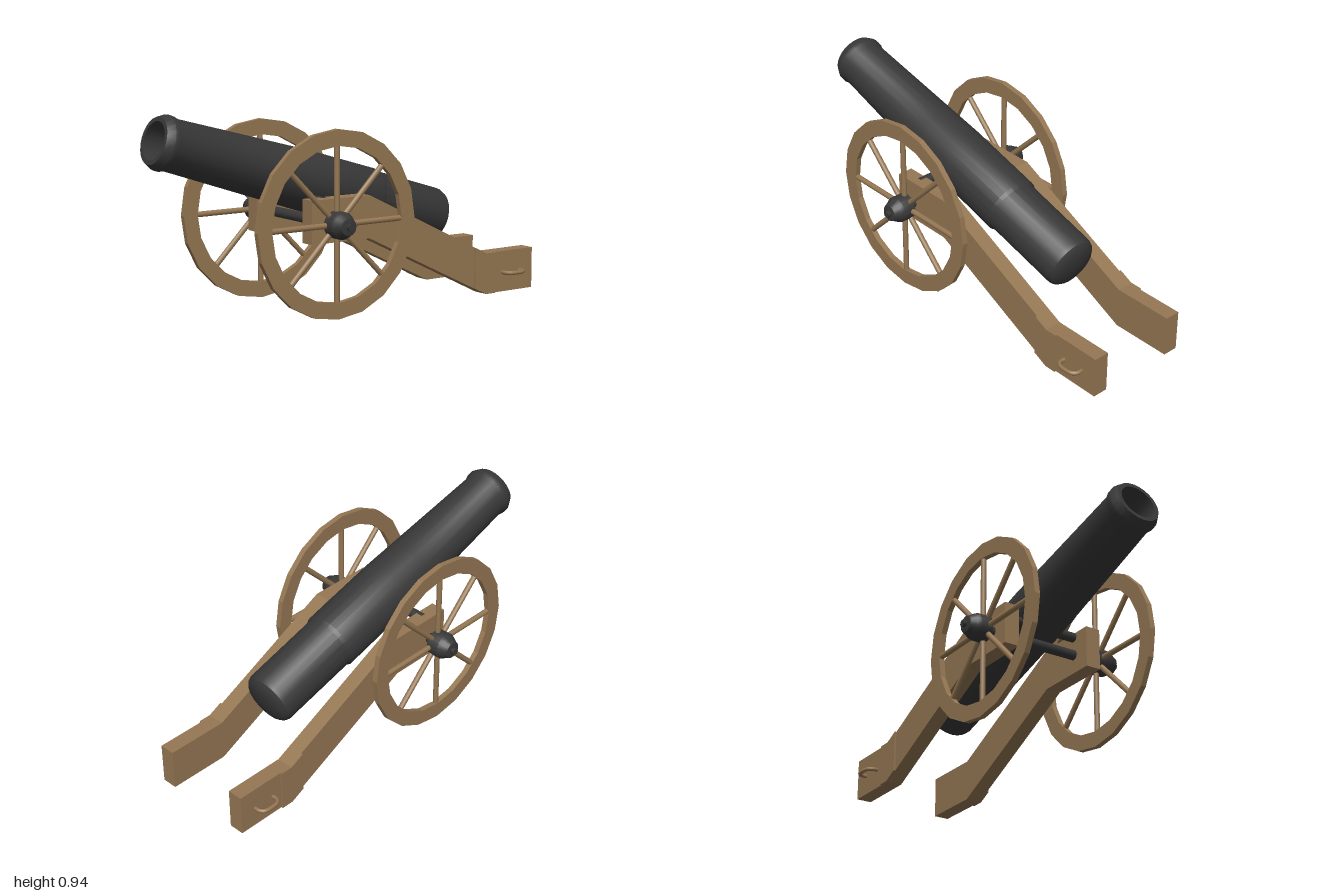
import * as THREE from 'three';
import { toCreasedNormals } from 'three/addons/utils/BufferGeometryUtils.js';

const wood = new THREE.MeshStandardMaterial({ color: 0x957753 });
wood.name = 'wood';
const iron = new THREE.MeshStandardMaterial({ color: 0x383838 });
iron.name = 'iron';

const WHEEL_Y = 0.43, AXLE_Z = 0.22;

function add(parent, name, geometry, material, x = 0, y = 0, z = 0) {
  const mesh = new THREE.Mesh(geometry, material);
  mesh.name = name;
  mesh.position.set(x, y, z);
  parent.add(mesh);
  return mesh;
}

const points = (list) => list.map(([a, b]) => new THREE.Vector2(a, b));

function lathe(profile, sides) {
  return toCreasedNormals(new THREE.LatheGeometry(points(profile), sides), 0.5);
}

function polygon(radius, sides) {
  return Array.from({ length: sides }, (_, i) => {
    const a = (i / sides) * Math.PI * 2;
    return new THREE.Vector2(Math.cos(a) * radius, Math.sin(a) * radius);
  });
}

// Side outline (z, y) extruded across x and centred on x = 0
function sidePlank(outline, width) {
  const g = new THREE.ExtrudeGeometry(
    new THREE.Shape(points(outline.map(([z, y]) => [-z, y]))),
    { depth: width, bevelEnabled: false });
  return g.translate(0, 0, -width / 2).rotateY(Math.PI / 2);
}

function makeWheel() {
  const wheel = new THREE.Group();
  const shape = new THREE.Shape(polygon(0.43, 20));
  shape.holes.push(new THREE.Path(polygon(0.355, 20)));
  const rim = new THREE.ExtrudeGeometry(shape, { depth: 0.027, bevelEnabled: false });
  rim.translate(0, 0, -0.0135).rotateY(Math.PI / 2);
  add(wheel, 'wheelRim', rim, wood);
  for (let i = 0; i < 8; i++) {
    const spoke = new THREE.CylinderGeometry(0.0133, 0.0133, 0.335, 10, 1, true);
    spoke.translate(0, 0.1975, 0).rotateX((i * Math.PI) / 4);
    add(wheel, 'spoke', spoke, wood);
  }
  return wheel;
}

export function createModel() {
  const cannon = new THREE.Group();
  cannon.name = 'cannon';

  // Barrel with domed breech, thicker middle, flared lip and hollow bore
  const barrel = add(cannon, 'barrel', lathe([
    [0, -0.038], [0.07, -0.033], [0.108, -0.022], [0.124, -0.008], [0.131, 0.012],
    [0.133, 0.395], [0.142, 0.412], [0.142, 0.80], [0.137, 0.95],
    [0.118, 1.525], [0.126, 1.55], [0.126, 1.571], [0.108, 1.606],
    [0.088, 1.606], [0.086, 0.45], [0, 0.45],
  ], 24), iron, 0, 0.37, -0.57);
  barrel.rotation.x = Math.PI / 2 - THREE.MathUtils.degToRad(16.5);

  // Cross bars: trunnions above, axle below
  const bar = (r, length) => new THREE.CylinderGeometry(r, r, length, 16).rotateZ(Math.PI / 2);
  add(cannon, 'trunnions', bar(0.023, 0.44), iron, 0, 0.52, AXLE_Z);
  add(cannon, 'axle', bar(0.024, 0.62), iron, 0, WHEEL_Y, AXLE_Z);
  add(cannon, 'axleTips', bar(0.016, 0.85), iron, 0, WHEEL_Y, AXLE_Z);

  for (const s of [1, -1]) {
    const side = new THREE.Group();
    side.name = s > 0 ? 'leftSide' : 'rightSide';
    cannon.add(side);

    // Carriage cheek and trail in one plank
    add(side, 'carriageCheek', sidePlank([
      [0.32, 0.34], [0, 0.34], [-0.7, 0], [-1, 0],
      [-1, 0.2], [-0.7, 0.2], [0, 0.54], [0.32, 0.54],
    ], 0.075), wood, s * 0.2245);

    // Reinforcing plate over the bend
    add(side, 'bendPlate', sidePlank([
      [-0.63, 0.034], [-0.7, 0], [-0.76, 0],
      [-0.76, 0.2], [-0.7, 0.2], [-0.63, 0.234],
    ], 0.009), wood, s * 0.2665);

    // Lifting handle
    const path = new THREE.CatmullRomCurve3([
      [0.255, -0.81], [0.285, -0.81], [0.305, -0.825], [0.311, -0.863],
      [0.305, -0.902], [0.285, -0.917], [0.255, -0.917],
    ].map(([x, z]) => new THREE.Vector3(s * x, 0.095, z)));
    add(side, 'handle', new THREE.TubeGeometry(path, 24, 0.01, 8), wood);

    const wheel = makeWheel();
    wheel.name = 'wheel';
    wheel.position.set(s * 0.3135, WHEEL_Y, AXLE_Z);
    side.add(wheel);

    // Hub through the wheel, tapering outward
    const hub = add(side, 'hub', lathe([
      [0, 0], [0.063, 0], [0.063, 0.06], [0.056, 0.075], [0.044, 0.095],
      [0.04, 0.106], [0.032, 0.108], [0, 0.108],
    ], 18), iron, s * 0.3, WHEEL_Y, AXLE_Z);
    hub.rotation.z = -s * Math.PI / 2;
  }
  return cannon;
}
